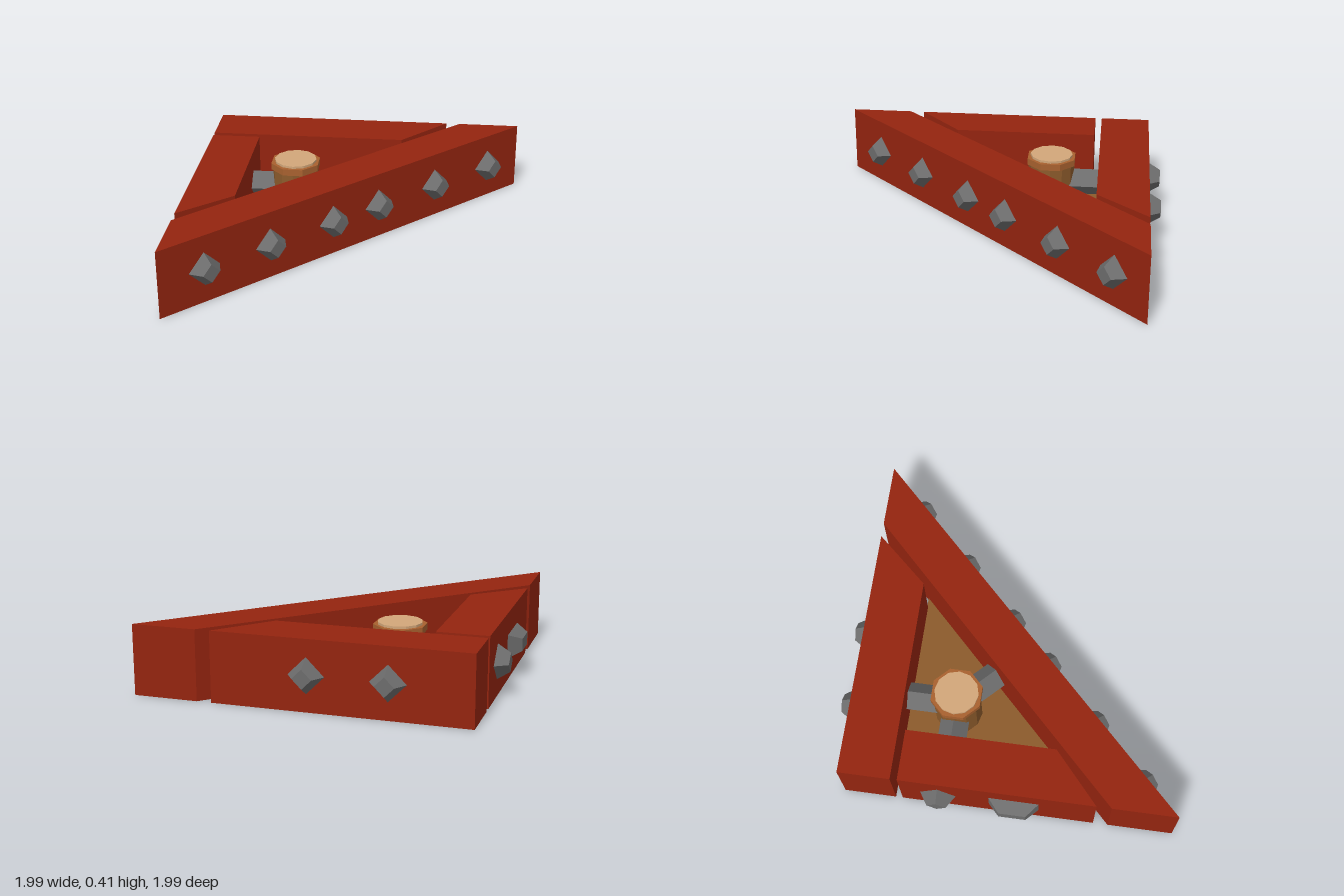
import * as THREE from 'three';

const mat = (name, color) => {
  const m = new THREE.MeshStandardMaterial({ color, flatShading: true });
  m.name = name;
  return m;
};

export function createModel() {
  const red = mat('red paint', 0x94240f);
  const floorWood = mat('floor wood', 0x8b5a2b);
  const rimWood = mat('rim wood', 0xa8612f);
  const paleWood = mat('pale wood', 0xd2a679);
  const iron = mat('iron', 0x6c6c6c);

  const group = new THREE.Group();
  const add = (name, geometry, material, x = 0, y = 0, z = 0, turn = 0) => {
    const mesh = new THREE.Mesh(geometry, material);
    mesh.name = name;
    mesh.position.set(x, y, z);
    mesh.rotation.y = turn;
    group.add(mesh);
    return mesh;
  };

  // Flat slab from an outline of [x, z] points
  const slab = (points, bottom, top) => {
    const shape = new THREE.Shape(points.map(([x, z]) => new THREE.Vector2(x, z)));
    return new THREE.ExtrudeGeometry(shape, { depth: top - bottom, bevelEnabled: false })
      .rotateX(Math.PI / 2)
      .translate(0, top, 0);
  };

  // Three mitred beams
  const H = 0.407;
  add('backBeam', slab([[-0.925, -0.93], [0.535, -0.93], [0.265, -0.63], [-0.925, -0.63]], 0, H), red);
  add('sideBeam', slab([[-0.925, -0.59], [-0.63, -0.59], [-0.63, 0.27], [-0.925, 0.53]], 0, H), red);
  add('diagonalBeam', slab([[0.62, -0.93], [0.99, -0.93], [-0.925, 0.99], [-0.925, 0.615]], 0, H), red);

  // Floor panel between the beams
  add('floor', slab([[-0.67, -0.635], [0.35, -0.635], [-0.67, 0.385]], 0.003, 0.04), floorWood);

  // Hub: post, rim and pale end grain
  const hx = -0.365, hz = -0.34;
  add('hubPost', new THREE.CylinderGeometry(0.14, 0.14, 0.363, 12), floorWood, hx, 0.1835, hz);
  add('hubRim', new THREE.CylinderGeometry(0.154, 0.154, 0.04, 8).rotateY(Math.PI / 8), rimWood, hx, 0.348, hz);
  add('hubTop', new THREE.CylinderGeometry(0.128, 0.128, 0.016, 12), paleWood, hx, 0.374, hz);

  // Diamond-section spokes from the hub into each beam
  const midY = 0.205;
  const spoke = (name, turn, length) => {
    const bar = new THREE.CylinderGeometry(0.083, 0.083, length, 4)
      .rotateX(Math.PI / 2)
      .translate(0, 0, length / 2);
    add(name, bar, iron, hx, midY, hz, turn);
  };
  spoke('backSpoke', Math.PI, 0.34);
  spoke('sideSpoke', -Math.PI / 2, 0.32);
  spoke('diagonalSpoke', Math.PI / 4, 0.34);

  // Four-sided stud, base on the face and tip pointing along +z before turning
  const stud = () => new THREE.CylinderGeometry(0.055, 0.103, 0.075, 4)
    .rotateX(Math.PI / 2)
    .translate(0, 0, 0.0365);
  for (const x of [-0.462, -0.012]) add('backStud', stud(), iron, x, midY, -0.93, Math.PI);
  add('sideStud', stud(), iron, -0.925, midY, -0.37, -Math.PI / 2);
  // Wide stud set flat on the side beam
  const wide = stud().rotateZ(Math.PI / 4).scale(1.98, 0.95, 1);
  add('wideSideStud', wide, iron, -0.925, midY, 0.065, -Math.PI / 2);
  for (const x of [-0.715, -0.4, -0.08, 0.165, 0.485, 0.805]) {
    add('diagonalStud', stud(), iron, x, midY, 0.062 - x, Math.PI / 4);
  }

  return group;
}
